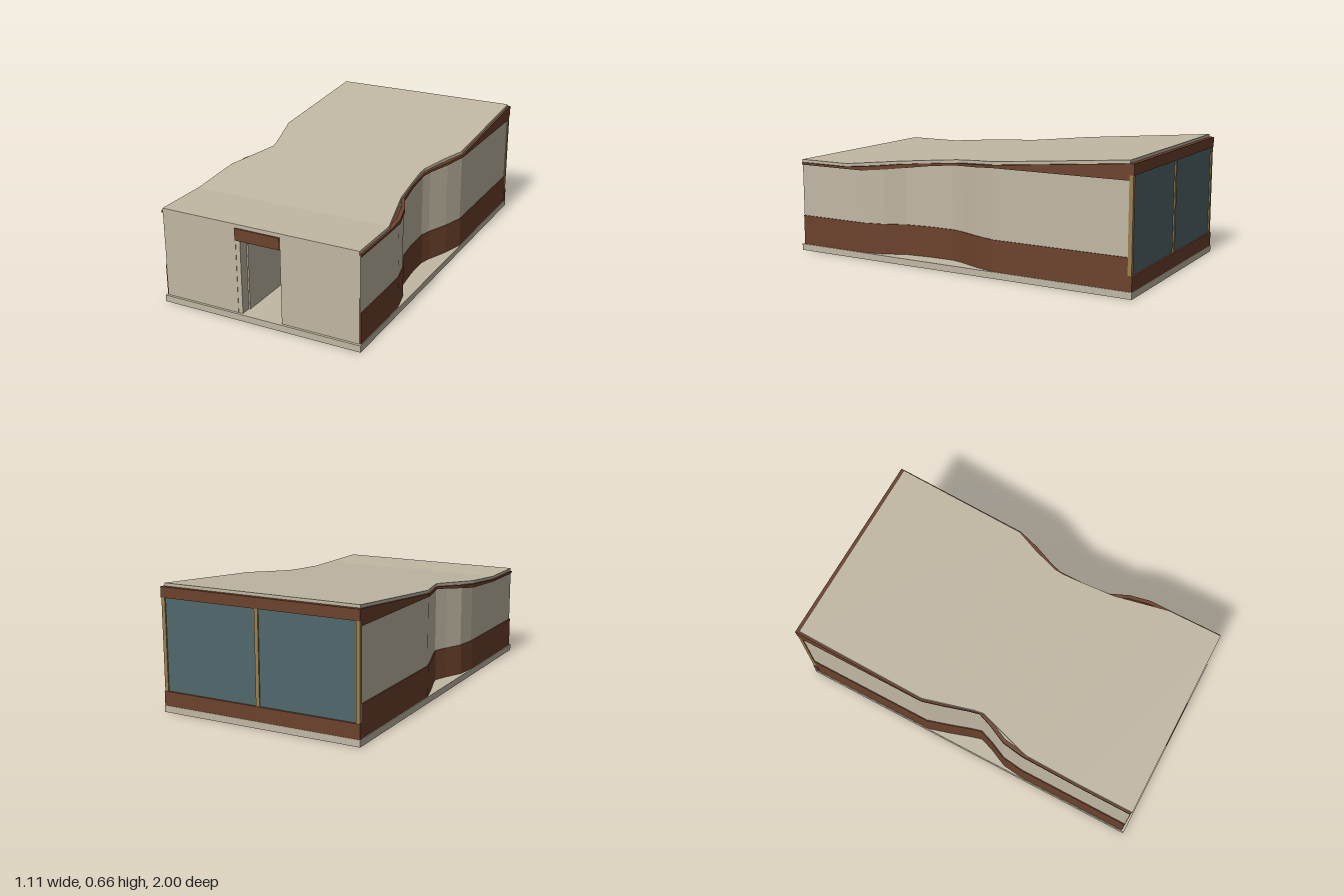
import * as THREE from 'three';

const material = (name, color) => {
  const m = new THREE.MeshStandardMaterial({ color });
  m.name = name;
  return m;
};

// linear interpolation through [position, value] keys, positions descending
function along(keys, z) {
  for (let i = 0; i < keys.length - 1; i++) {
    const [z0, v0] = keys[i], [z1, v1] = keys[i + 1];
    if (z <= z0 && z >= z1) return v0 + (v1 - v0) * (z0 - z) / (z0 - z1);
  }
  return z > keys[0][0] ? keys[0][1] : keys[keys.length - 1][1];
}

// rectangular section of a loft, counter-clockwise seen from the front
function section(z, xa, xb, y0, y1) {
  const l = Math.min(xa, xb), r = Math.max(xa, xb);
  return [[l, y0, z], [r, y0, z], [r, y1, z], [l, y1, z]];
}

// flat-faced solid through sections ordered from front to back
function loft(sections) {
  const index = [0, 1, 2, 0, 2, 3];
  for (let k = 0; k < sections.length - 1; k++) {
    for (let i = 0; i < 4; i++) {
      const j = (i + 1) % 4, a = k * 4, b = a + 4;
      index.push(a + i, b + i, b + j, a + i, b + j, a + j);
    }
  }
  const e = (sections.length - 1) * 4;
  index.push(e, e + 2, e + 1, e, e + 3, e + 2);
  const g = new THREE.BufferGeometry();
  g.setAttribute('position', new THREE.Float32BufferAttribute(sections.flat(2), 3));
  g.setIndex(index);
  const flat = g.toNonIndexed();
  flat.computeVertexNormals();
  return flat;
}

export function createModel() {
  const group = new THREE.Group();
  group.name = 'pavilion';
  const plaster = material('plaster', 0xc1b8a4);
  const brown = material('brownCladding', 0x6c412c);
  const glass = material('glass', 0x50676a);
  const timber = material('timber', 0x9a7f4e);

  const add = (name, geometry, mat) => {
    const mesh = new THREE.Mesh(geometry, mat);
    mesh.name = name;
    group.add(mesh);
  };
  const box = (name, mat, x0, x1, y0, y1, z0, z1) => {
    const g = new THREE.BoxGeometry(x1 - x0, y1 - y0, z1 - z0);
    g.translate((x0 + x1) / 2, (y0 + y1) / 2, (z0 + z1) / 2);
    add(name, g, mat);
  };

  box('floorSlab', plaster, -0.557, 0.557, 0, 0.035, -1, 1);

  // roof: flat at the front, rising to the back, pinched at the waist
  const roofTop = (z) => along([[1, 0.515], [0.68, 0.515], [-0.98, 0.661]], z);
  const roofRows = [
    [0.99, -0.545, 0.545], [0.68, -0.545, 0.545], [0.38, -0.545, 0.47],
    [0.34, -0.535, 0.466], [0.18, -0.487, 0.45], [0.08, -0.457, 0.443],
    [0.03, -0.466, 0.446], [-0.11, -0.507, 0.49], [-0.24, -0.545, 0.543],
    [-0.975, -0.545, 0.545],
  ];
  add('roof', loft(roofRows.map(([z, l, r]) => section(z, l, r, roofTop(z) - 0.02, roofTop(z)))), plaster);

  // waving side walls: [z, outer x]
  const rightPath = [
    [0.985, 0.548], [0.68, 0.548], [0.57, 0.546], [0.455, 0.518], [0.35, 0.468],
    [0.2, 0.451], [0.06, 0.448], [0, 0.464], [-0.12, 0.513], [-0.24, 0.548], [-0.975, 0.548],
  ];
  const leftPath = [
    [0.985, -0.548], [0.68, -0.548], [0.36, -0.548], [0.24, -0.533], [0.14, -0.487],
    [0.06, -0.458], [0, -0.474], [-0.12, -0.513], [-0.24, -0.548], [-0.975, -0.548],
  ];
  const wallTop = (z) => along([
    [1, 0.487], [0.57, 0.487], [0.455, 0.497], [0.35, 0.507], [0.2, 0.527],
    [0.04, 0.543], [-0.12, 0.555], [-0.24, 0.565], [-1, 0.565],
  ], z);
  for (const [side, path] of [['left', rightPath], ['right', leftPath]]) {
    const ribbon = (proud, bottom, top) => loft(path.map(([z, x]) => {
      const s = Math.sign(x);
      return section(z, x + s * proud, x - s * 0.015, bottom(z), top(z));
    }));
    add(side + 'WallBase', ribbon(0.005, () => 0.035, () => 0.2), brown);
    add(side + 'Wall', ribbon(0, () => 0.2, wallTop), plaster);
    add(side + 'Fascia', ribbon(0.007, wallTop, (z) => roofTop(z) - 0.016), brown);
  }

  // front wall with door opening
  box('frontWallRight', plaster, -0.545, -0.124, 0.035, 0.496, 0.96, 0.987);
  box('frontWallLeft', plaster, 0.124, 0.545, 0.035, 0.496, 0.96, 0.987);
  box('doorLintel', brown, -0.124, 0.124, 0.43, 0.493, 0.96, 0.994);
  box('doorJamb', plaster, -0.124, -0.1, 0.035, 0.43, 0.93, 0.985);

  // glazed back
  box('backSill', brown, -0.555, 0.555, 0.035, 0.11, -0.998, -0.972);
  box('backHeader', brown, -0.555, 0.555, 0.59, 0.645, -0.998, -0.972);
  box('backGlass', glass, -0.54, 0.54, 0.11, 0.59, -0.988, -0.982);
  for (const x of [-0.543, 0, 0.543]) {
    box('backPost', timber, x - 0.01, x + 0.01, 0.11, 0.59, -0.995, -0.974);
  }

  // interior pieces seen through the door
  box('partition', plaster, -0.1, -0.092, 0.035, 0.39, 0.25, 0.93);
  box('counter', plaster, -0.092, -0.012, 0.035, 0.284, 0.1, 0.25);
  box('counterTop', brown, -0.092, -0.012, 0.284, 0.291, 0.1, 0.25);
  box('bench', brown, 0.096, 0.3, 0.035, 0.12, -0.5, -0.1);

  return group;
}
